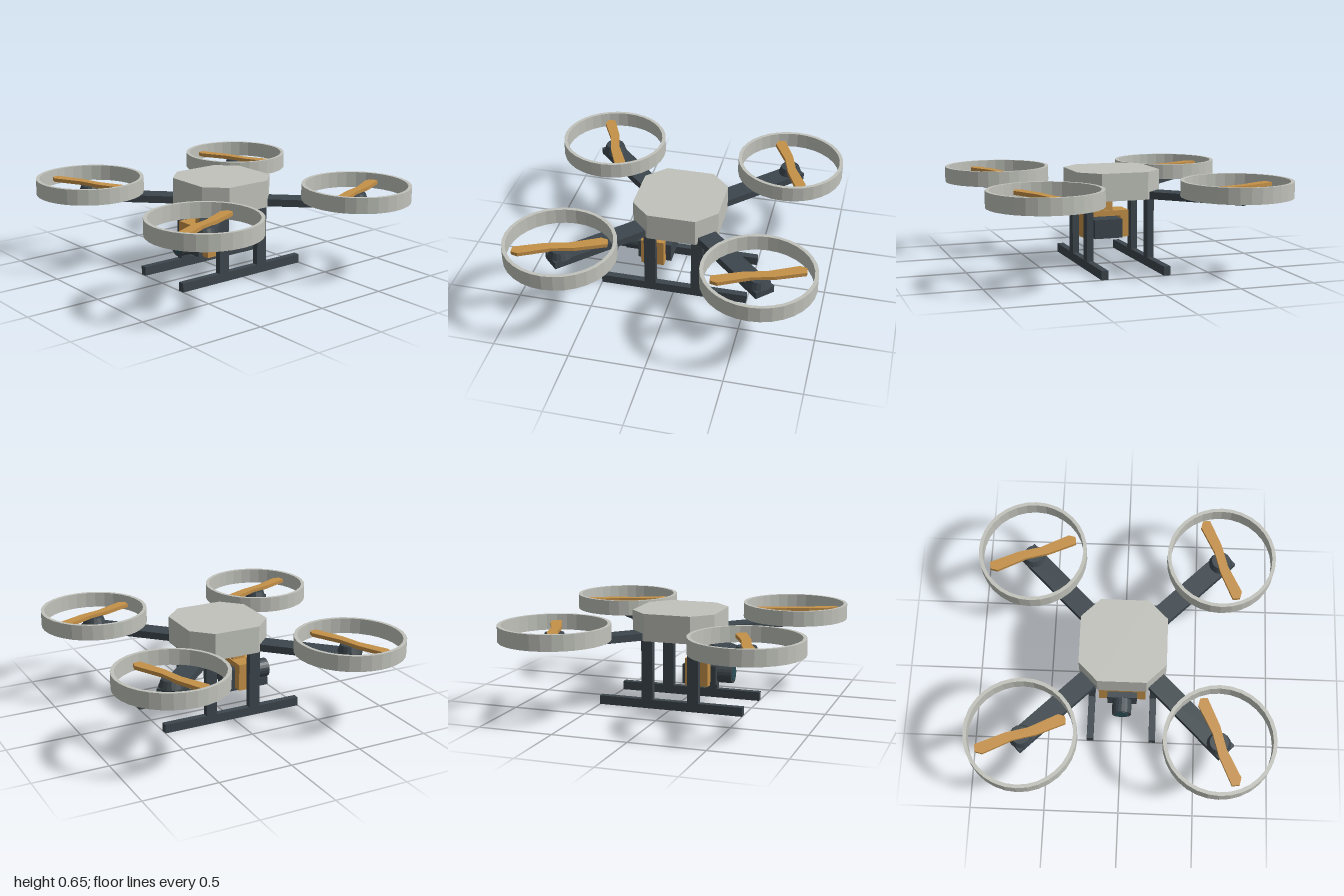
import * as THREE from 'three';

const mat = (color) => new THREE.MeshStandardMaterial({ color, flatShading: true });

export function createModel() {
  const model = new THREE.Group();
  const shell = mat(0xc0c2ba), dark = mat(0x3c464c), amber = mat(0xc49048), glass = mat(0x2b4f58);

  const add = (name, geometry, material, x = 0, y = 0, z = 0, parent = model) => {
    const mesh = new THREE.Mesh(geometry, material);
    mesh.name = name;
    mesh.position.set(x, y, z);
    parent.add(mesh);
    return mesh;
  };
  // Box given by its lower and upper corners
  const block = (name, material, [x0, y0, z0], [x1, y1, z1], parent = model) =>
    add(name, new THREE.BoxGeometry(x1 - x0, y1 - y0, z1 - z0), material,
      (x0 + x1) / 2, (y0 + y1) / 2, (z0 + z1) / 2, parent);
  // Plan outline of [x, z] points, raised upward
  const slab = (outline, height) => {
    const shape = new THREE.Shape(outline.map(([x, z]) => new THREE.Vector2(x, -z)));
    return new THREE.ExtrudeGeometry(shape, { depth: height, bevelEnabled: false }).rotateX(-Math.PI / 2);
  };

  // Octagonal body
  const a = 0.286, b = 0.16;
  add('body', slab([[a, b], [a, -b], [b, -a], [-b, -a], [-a, -b], [-a, b], [-b, a], [b, a]], 0.182),
    shell, 0, 0.468, 0);

  // Rotor parts shared by the four corners
  const ringGeo = new THREE.LatheGeometry(
    [[0.364, 0], [0.364, 0.105], [0.34, 0.105], [0.34, 0], [0.364, 0]].map(([r, y]) => new THREE.Vector2(r, y)), 32);
  const half = [[0.05, -0.045], [0.233, -0.139], [0.28, -0.128], [0.286, -0.08], [0.1, 0.003]];
  const bladeGeo = slab([...half, ...half.map(([x, z]) => [-x, -z])], 0.025);
  const motorGeo = new THREE.CylinderGeometry(0.062, 0.08, 0.05, 16);
  const armGeo = new THREE.BoxGeometry(0.67, 0.048, 0.136);

  for (const sx of [1, -1]) {
    for (const sz of [1, -1]) {
      const rotor = new THREE.Group();
      rotor.name = 'rotor';
      rotor.position.set(sx * 0.636, 0, sz * 0.636);
      model.add(rotor);
      add('guardRing', ringGeo, shell, 0, 0.515, 0, rotor);
      add('motor', motorGeo, dark, 0, 0.538, 0, rotor);
      add('propeller', bladeGeo, amber, 0, 0.56, 0, rotor).rotation.y = sx > 0 ? Math.PI / 2 : 0;
      // Diagonal arm
      add('arm', armGeo, dark, sx * 0.45, 0.492, sz * 0.45).rotation.y = -sx * sz * Math.PI / 4;
      // Landing leg
      add('landingLeg', new THREE.BoxGeometry(0.044, 0.42, 0.077), dark, sx * 0.212, 0.262, sz * 0.16);
    }
    add('skid', new THREE.BoxGeometry(0.045, 0.06, 1), dark, sx * 0.212, 0.03, 0);
  }

  // Camera gimbal: post and yoke
  const gimbal = new THREE.Group();
  gimbal.name = 'gimbal';
  model.add(gimbal);
  block('gimbalPost', amber, [-0.045, 0.34, 0.095], [0.045, 0.475, 0.185], gimbal);
  block('yokeTop', amber, [-0.158, 0.308, 0.083], [0.158, 0.345, 0.24], gimbal);
  for (const s of [1, -1]) {
    add('yokeSide', new THREE.BoxGeometry(0.058, 0.148, 0.157), amber, s * 0.129, 0.234, 0.1615, gimbal);
  }

  // Camera with barrel and lens
  block('camera', dark, [-0.1, 0.16, 0.045], [0.1, 0.29, 0.275], gimbal);
  add('lensBarrel', new THREE.CylinderGeometry(0.065, 0.065, 0.1, 20).rotateX(Math.PI / 2), dark, 0, 0.226, 0.322, gimbal);
  add('lens', new THREE.CylinderGeometry(0.045, 0.045, 0.01, 20).rotateX(Math.PI / 2), glass, 0, 0.226, 0.37, gimbal);

  return model;
}
